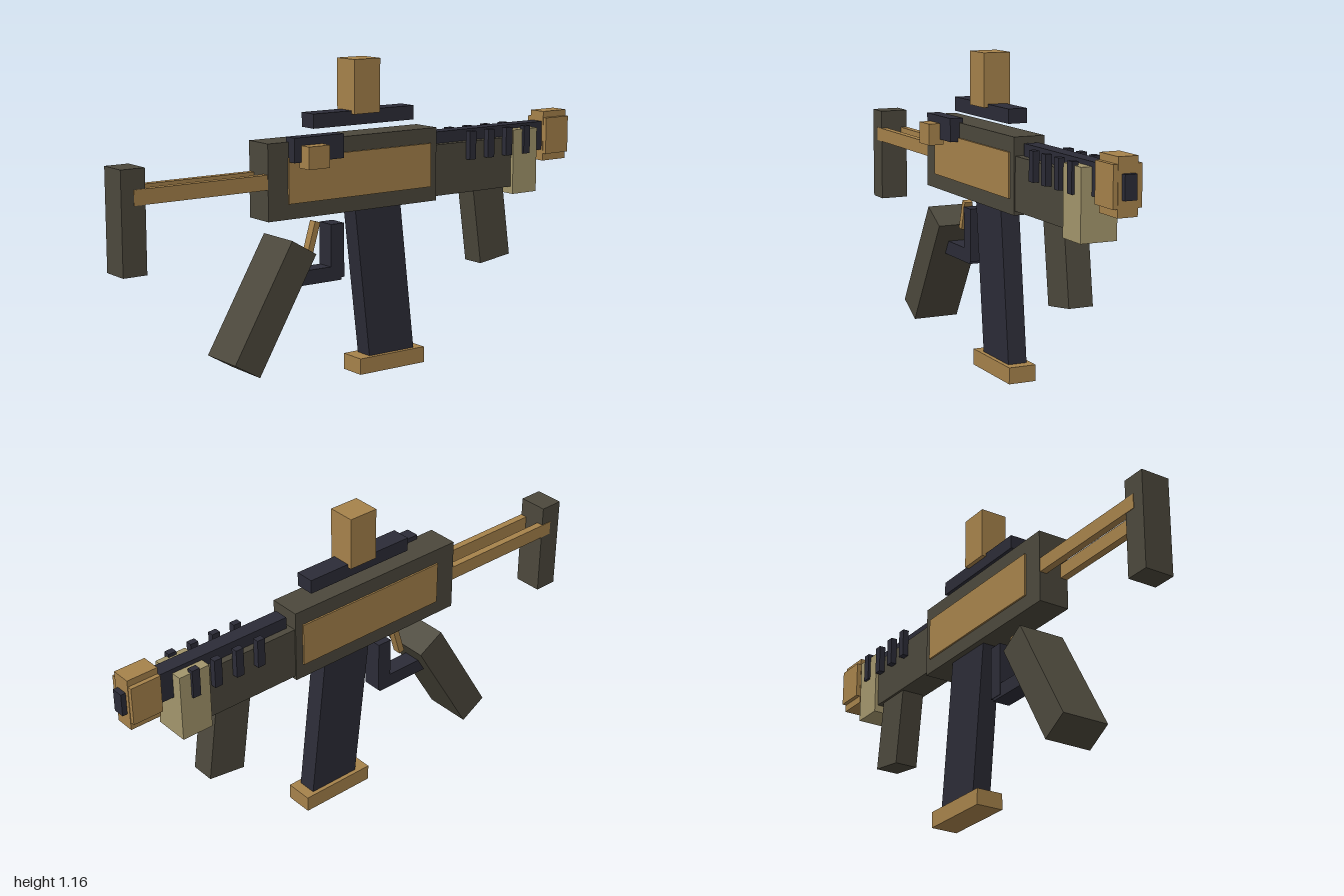
import * as THREE from 'three';

// Depth of the model's own plane of symmetry
const MID_Z = -0.023;

const material = (name, color) => {
  const m = new THREE.MeshStandardMaterial({ color });
  m.name = name;
  return m;
};

export function createModel() {
  const olive = material('dark olive', 0x4c483c);
  const navy = material('dark navy', 0x2c2c37);
  const gold = material('bronze', 0xa6824b);
  const tan = material('tan', 0xa3966c);

  const model = new THREE.Group();
  model.name = 'blockyToyBlaster';

  // Box from its extents in x, y and z
  function block(name, mat, [x0, x1], [y0, y1], [z0, z1]) {
    const mesh = new THREE.Mesh(new THREE.BoxGeometry(x1 - x0, y1 - y0, z1 - z0), mat);
    mesh.position.set((x0 + x1) / 2, (y0 + y1) / 2, (z0 + z1) / 2);
    mesh.name = name;
    model.add(mesh);
    return mesh;
  }
  // Depth range centred on the symmetry plane
  const deep = (half) => [MID_Z - half, MID_Z + half];

  // Box leaning in the xy plane
  function leaning(name, mat, x, y, width, length, half, degrees) {
    const mesh = block(name, mat, [x - width / 2, x + width / 2], [y - length / 2, y + length / 2], deep(half));
    mesh.rotation.z = THREE.MathUtils.degToRad(degrees);
    return mesh;
  }

  // Stock with two side rods
  block('stockButt', olive, [-1, -0.91], [0.49, 0.85], deep(0.055));
  for (const side of [-1, 1]) {
    const zs = [MID_Z + side * 0.03, MID_Z + side * 0.057].sort((a, b) => a - b);
    block(side > 0 ? 'frontStockRod' : 'backStockRod', gold, [-0.953, -0.42], [0.727, 0.78], zs);
  }

  // Receiver with side panels
  block('receiver', olive, [-0.433, 0.31], [0.615, 0.888], deep(0.059));
  block('sidePanels', gold, [-0.35, 0.28], [0.67, 0.832], deep(0.0655));

  // Side handle
  block('handleBracket', navy, [-0.348, -0.138], [0.818, 0.905], [0.022, 0.073]);
  block('handleKnob', gold, [-0.318, -0.23], [0.797, 0.877], [0.06, 0.118]);

  // Sight on its rail
  block('sightRail', navy, [-0.226, 0.22], [0.922, 0.974], deep(0.036));
  block('sight', gold, [-0.06, 0.055], [0.962, 1.157], deep(0.052));

  // Handguard, barrel and front band
  block('handguard', olive, [0.3, 0.75], [0.63, 0.822], deep(0.054));
  block('barrel', navy, [0.325, 0.9], [0.755, 0.866], deep(0.028));
  block('barrelTip', navy, [0.85, 1], [0.768, 0.851], deep(0.022));
  block('frontBand', tan, [0.682, 0.802], [0.602, 0.85], deep(0.067));

  // Cooling ribs along both sides
  for (let i = 0; i < 4; i++) {
    const x = 0.457 + i * 0.09;
    for (const side of [-1, 1]) {
      const zs = [MID_Z + side * 0.053, MID_Z + side * 0.077].sort((a, b) => a - b);
      block('coolingRib', navy, [x, x + 0.031], [0.756, 0.863], zs);
    }
  }

  // Muzzle made of a wide and a tall block
  block('muzzleWide', gold, [0.864, 0.979], [0.74, 0.881], deep(0.052));
  block('muzzleTall', gold, [0.863, 0.981], [0.712, 0.905], deep(0.036));

  // Grips
  leaning('rearGrip', olive, -0.425, 0.31, 0.117, 0.476, 0.09, -30.4);
  leaning('foregrip', olive, 0.594, 0.51, 0.146, 0.315, 0.045, 8);

  // Trigger and its guard
  block('guardPost', navy, [-0.152, -0.094], [0.374, 0.572], deep(0.036));
  block('guardBar', navy, [-0.335, -0.104], [0.364, 0.417], deep(0.034));
  leaning('trigger', gold, -0.2115, 0.53, 0.023, 0.112, 0.016, -16.5);

  // Magazine and its base
  leaning('magazine', navy, 0.09, 0.34, 0.204, 0.61, 0.036, 6.6);
  block('magazineBase', gold, [-0.033, 0.264], [0, 0.06], deep(0.052));

  return model;
}
